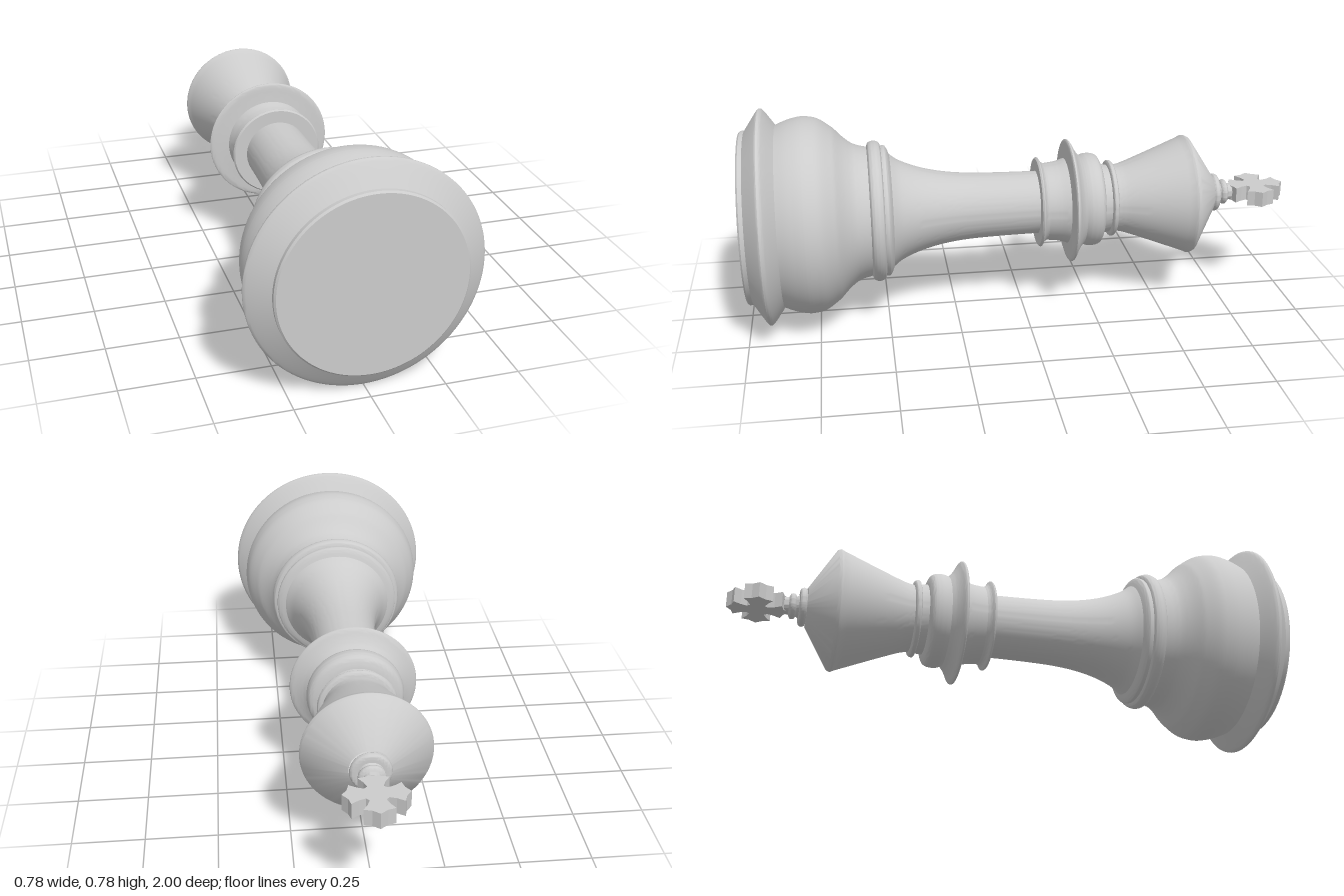
import * as THREE from 'three';
import { toCreasedNormals } from 'three/addons/utils/BufferGeometryUtils.js';

const material = new THREE.MeshStandardMaterial({ color: 0xcccccc, side: THREE.DoubleSide });

// Turned part: each run is a list of [radius, height]; runs of 3+ points are smoothed, pairs stay straight.
function turned(name, ...runs) {
  const profile = [];
  for (const run of runs) {
    const pts = run.map(([r, h]) => new THREE.Vector2(r, h));
    const out = pts.length > 2 ? new THREE.SplineCurve(pts).getPoints((pts.length - 1) * 5) : pts;
    for (const p of out) {
      const last = profile[profile.length - 1];
      if (!last || last.distanceTo(p) > 1e-4) profile.push(p);
    }
  }
  const geometry = toCreasedNormals(new THREE.LatheGeometry(profile, 96), 0.55);
  const mesh = new THREE.Mesh(geometry, material);
  mesh.name = name;
  return mesh;
}

// Cross with four flared arms, each ending in a shallow peak.
function makeCross() {
  const arm = [[0.026, 0.036], [0.034, 0.058], [0.05, 0.083], [0.024, 0.09], [0, 0.108],
    [-0.024, 0.09], [-0.05, 0.083], [-0.034, 0.058], [-0.026, 0.036]];
  const points = [];
  for (let i = 0; i < 4; i++) {
    for (const [x, y] of arm) {
      points.push(new THREE.Vector2(x, y).rotateAround(new THREE.Vector2(), i * Math.PI / 2));
    }
  }
  const geometry = new THREE.ExtrudeGeometry(new THREE.Shape(points), { depth: 0.056, bevelEnabled: false });
  geometry.translate(0, 1.892, -0.028);
  const mesh = new THREE.Mesh(geometry, material);
  mesh.name = 'cross';
  return mesh;
}

export function createModel() {
  const piece = new THREE.Group();
  piece.name = 'chessKing';

  piece.add(
    // Foot with its flared rim
    turned('foot',
      [[0, 0], [0.306, 0]],
      [[0.306, 0], [0.312, 0.006]],
      [[0.312, 0.006], [0.312, 0.02]],
      [[0.312, 0.02], [0.38, 0.066], [0.388, 0.077], [0.38, 0.09], [0.328, 0.128]]),
    // Rounded belly and the concave shoulder above it
    turned('belly',
      [[0.328, 0.128], [0.343, 0.165], [0.353, 0.205], [0.354, 0.235], [0.344, 0.278], [0.312, 0.325]],
      [[0.312, 0.325], [0.306, 0.332]],
      [[0.306, 0.332], [0.272, 0.365], [0.247, 0.4], [0.234, 0.445]]),
    // Double ring at the bottom of the stem
    turned('lowerRing',
      [[0.234, 0.445], [0.249, 0.452], [0.255, 0.47], [0.249, 0.489], [0.236, 0.495]],
      [[0.236, 0.495], [0.237, 0.508], [0.225, 0.517], [0.205, 0.525]]),
    // Slender stem
    turned('stem',
      [[0.205, 0.525], [0.18, 0.56], [0.152, 0.63], [0.133, 0.71], [0.122, 0.8], [0.117, 0.92], [0.115, 1.058]]),
    // Collar: thin lip, drum, wide disc and rounded band
    turned('collar',
      [[0.115, 1.058], [0.16, 1.058]],
      [[0.16, 1.058], [0.165, 1.066], [0.15, 1.076], [0.142, 1.088]],
      [[0.142, 1.088], [0.147, 1.13], [0.157, 1.165]],
      [[0.157, 1.165], [0.185, 1.168]],
      [[0.185, 1.168], [0.222, 1.172], [0.224, 1.182], [0.2, 1.195], [0.18, 1.208], [0.165, 1.222]],
      [[0.165, 1.222], [0.171, 1.24], [0.171, 1.265], [0.163, 1.284], [0.145, 1.293]],
      [[0.145, 1.293], [0.128, 1.296]]),
    // Narrow neck ring
    turned('neckRing',
      [[0.128, 1.296], [0.125, 1.322]],
      [[0.125, 1.322], [0.139, 1.326], [0.141, 1.334], [0.136, 1.342], [0.123, 1.346]]),
    // Flared head with a conical top
    turned('head',
      [[0.123, 1.346], [0.13, 1.38], [0.161, 1.465], [0.216, 1.608]],
      [[0.216, 1.608], [0.221, 1.618], [0.216, 1.63]],
      [[0.216, 1.63], [0.07, 1.722]]),
    // Two small beads below the cross
    turned('finial',
      [[0.045, 1.722], [0.063, 1.722], [0.07, 1.734], [0.063, 1.746], [0.042, 1.748]],
      [[0.042, 1.748], [0.036, 1.757]],
      [[0.036, 1.757], [0.045, 1.764], [0.045, 1.776], [0.032, 1.784]],
      [[0.032, 1.784], [0.03, 1.8]],
      [[0.03, 1.8], [0, 1.8]]),
    makeCross());

  // Lay the piece down with its foot towards the front
  piece.rotation.x = -Math.PI / 2;
  piece.position.set(0, 0.388, 1);

  const model = new THREE.Group();
  model.add(piece);
  return model;
}
